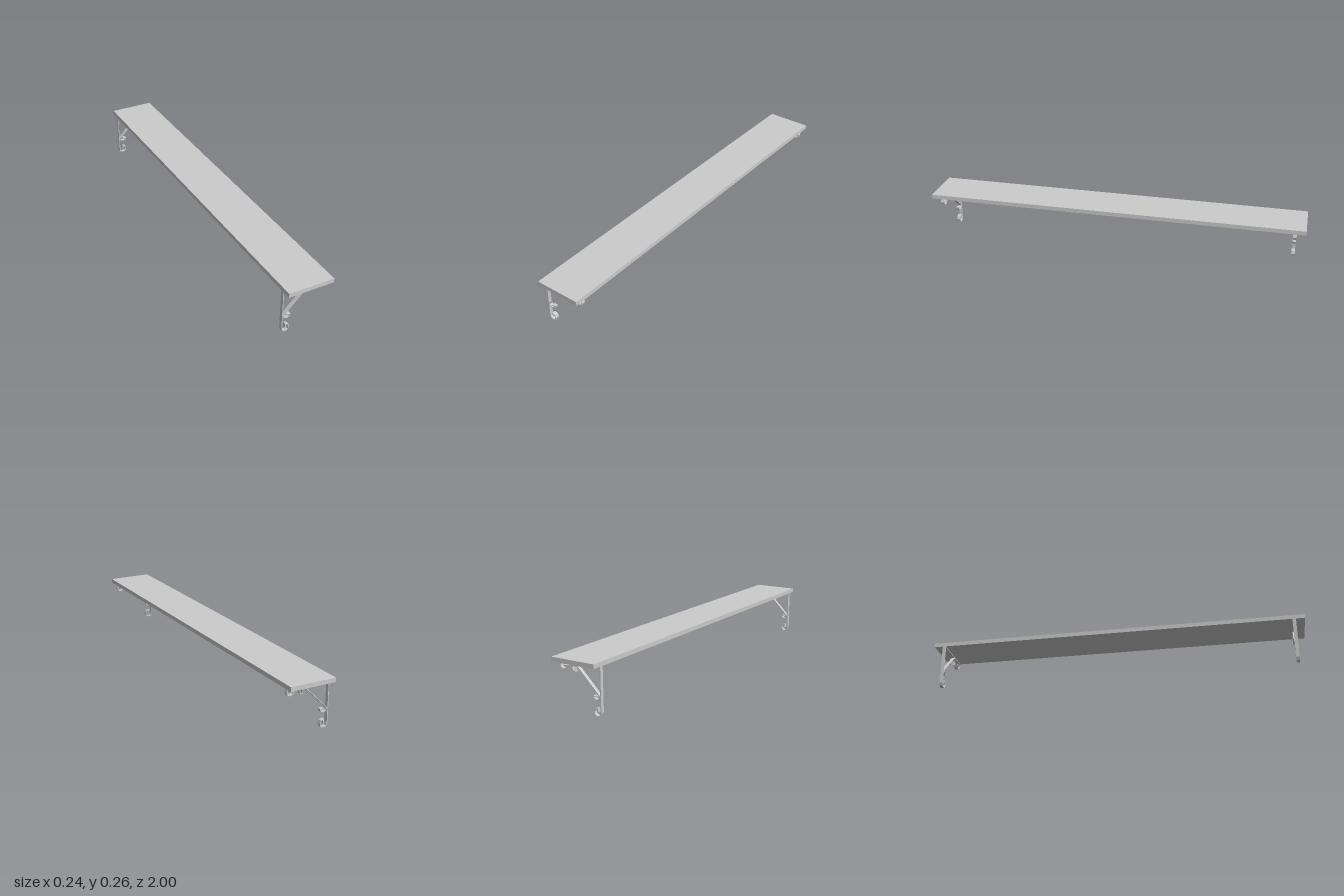
import * as THREE from 'three';

const BAND = 0.004;   // strap thickness
const WIDTH = 0.018;  // strap width along z

// Flat metal strap: a centre line thickened with mitred corners, extruded along z
function strap(name, coords, material) {
  const pts = coords.map(([x, y]) => new THREE.Vector2(x, y));
  const normal = (a, b) => new THREE.Vector2(a.y - b.y, b.x - a.x).normalize();
  const left = [], right = [];
  pts.forEach((p, i) => {
    const n1 = normal(pts[Math.max(i - 1, 0)], pts[Math.max(i, 1)]);
    const last = pts.length - 1;
    const n2 = normal(pts[Math.min(i, last - 1)], pts[Math.min(i + 1, last)]);
    const m = n1.clone().add(n2).normalize();
    m.multiplyScalar(BAND / 2 / m.dot(n1));
    left.push(p.clone().add(m));
    right.unshift(p.clone().sub(m));
  });
  const geometry = new THREE.ExtrudeGeometry(new THREE.Shape([...left, ...right]), {
    depth: WIDTH, bevelEnabled: false,
  });
  geometry.translate(0, 0, -WIDTH / 2);
  const mesh = new THREE.Mesh(geometry, material);
  mesh.name = name;
  return mesh;
}

export function createModel() {
  const model = new THREE.Group();
  model.name = 'shelf';
  const material = new THREE.MeshStandardMaterial({ color: 0xcccccc, flatShading: true });

  // Shelf board
  const board = new THREE.Mesh(new THREE.BoxGeometry(0.24, 0.022, 2), material);
  board.name = 'board';
  board.position.y = 0.25;
  model.add(board);

  // Wall leg and top arm, each ending in a curl
  const frame = [
    [-0.098, 0.024], [-0.098, 0.043], [-0.084, 0.038], [-0.079, 0.024], [-0.084, 0.009],
    [-0.099, 0.003], [-0.113, 0.009], [-0.118, 0.024], [-0.118, 0.237],
    [0.09, 0.237], [0.104, 0.231], [0.109, 0.216], [0.104, 0.202], [0.09, 0.197],
    [0.076, 0.202], [0.07, 0.215], [0.09, 0.215],
  ];
  // Diagonal brace with a curl at both ends
  const brace = [
    [-0.095, 0.097], [-0.077, 0.097], [-0.081, 0.085], [-0.094, 0.08], [-0.108, 0.085],
    [-0.114, 0.098], [0.022, 0.232], [0.035, 0.227], [0.041, 0.213], [0.036, 0.199],
    [0.024, 0.194], [0.024, 0.213],
  ];

  // One bracket near each end
  for (const [name, z] of [['frontBracket', 0.945], ['backBracket', -0.945]]) {
    const bracket = new THREE.Group();
    bracket.name = name;
    bracket.add(strap('scrollFrame', frame, material), strap('diagonalBrace', brace, material));
    bracket.position.z = z;
    model.add(bracket);
  }
  return model;
}
